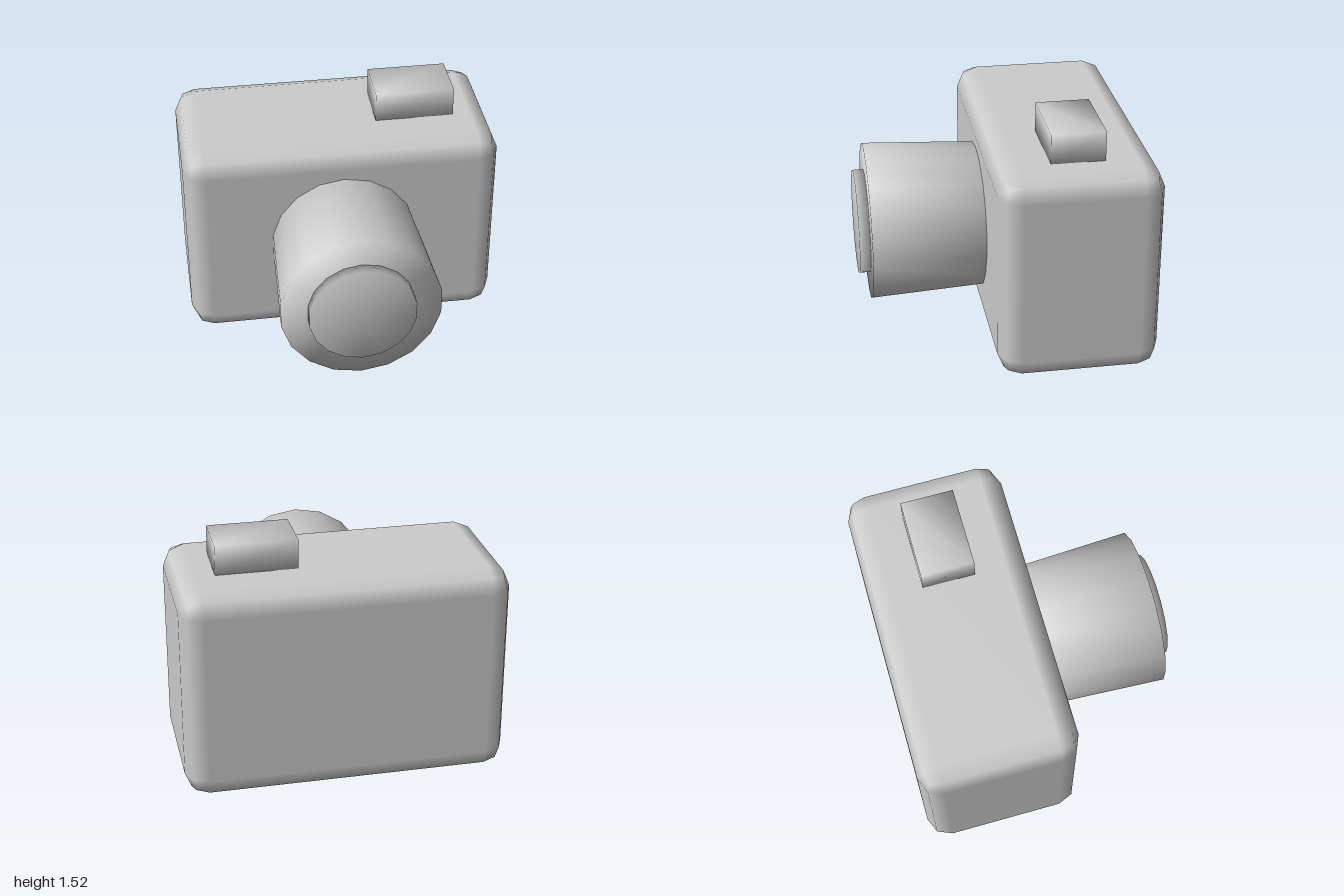
import * as THREE from 'three';
import { mergeVertices } from 'three/addons/utils/BufferGeometryUtils.js';
import { RoundedBoxGeometry } from 'three/addons/geometries/RoundedBoxGeometry.js';

// Weld all corners so the shading runs smoothly over every edge
function smooth(geometry) {
  geometry.deleteAttribute('normal');
  geometry.deleteAttribute('uv');
  geometry.clearGroups();
  const welded = mergeVertices(geometry, 1e-4);
  welded.computeVertexNormals();
  return welded;
}

export function createModel() {
  const group = new THREE.Group();
  group.name = 'camera';
  const grey = new THREE.MeshStandardMaterial({ color: 0xcccccc });
  grey.name = 'grey';

  const add = (name, geometry, x, y, z) => {
    const mesh = new THREE.Mesh(geometry, grey);
    mesh.name = name;
    mesh.position.set(x, y, z);
    group.add(mesh);
  };

  // Eighteen-sided drum lying along z, from zBack to zFront
  const drum = (name, rFront, rBack, zBack, zFront) => {
    const geometry = new THREE.CylinderGeometry(rFront, rBack, zFront - zBack, 18);
    geometry.rotateX(Math.PI / 2);
    add(name, smooth(geometry), 0, 0.668, (zBack + zFront) / 2);
  };

  // Body with two-step rounded edges
  add('body', new RoundedBoxGeometry(2, 1.336, 1, 1, 0.137), 0, 0.668, -0.389);

  // Lens barrel widens to the front and carries the smaller glass
  drum('lensBarrel', 0.5, 0.465, 0.1, 0.82);
  drum('lensGlass', 0.332, 0.332, 0.81, 0.889);

  // Shutter button on the top
  add('shutterButton', smooth(new THREE.BoxGeometry(0.5, 0.19, 0.332)), 0.5, 1.427, -0.389);

  return group;
}
